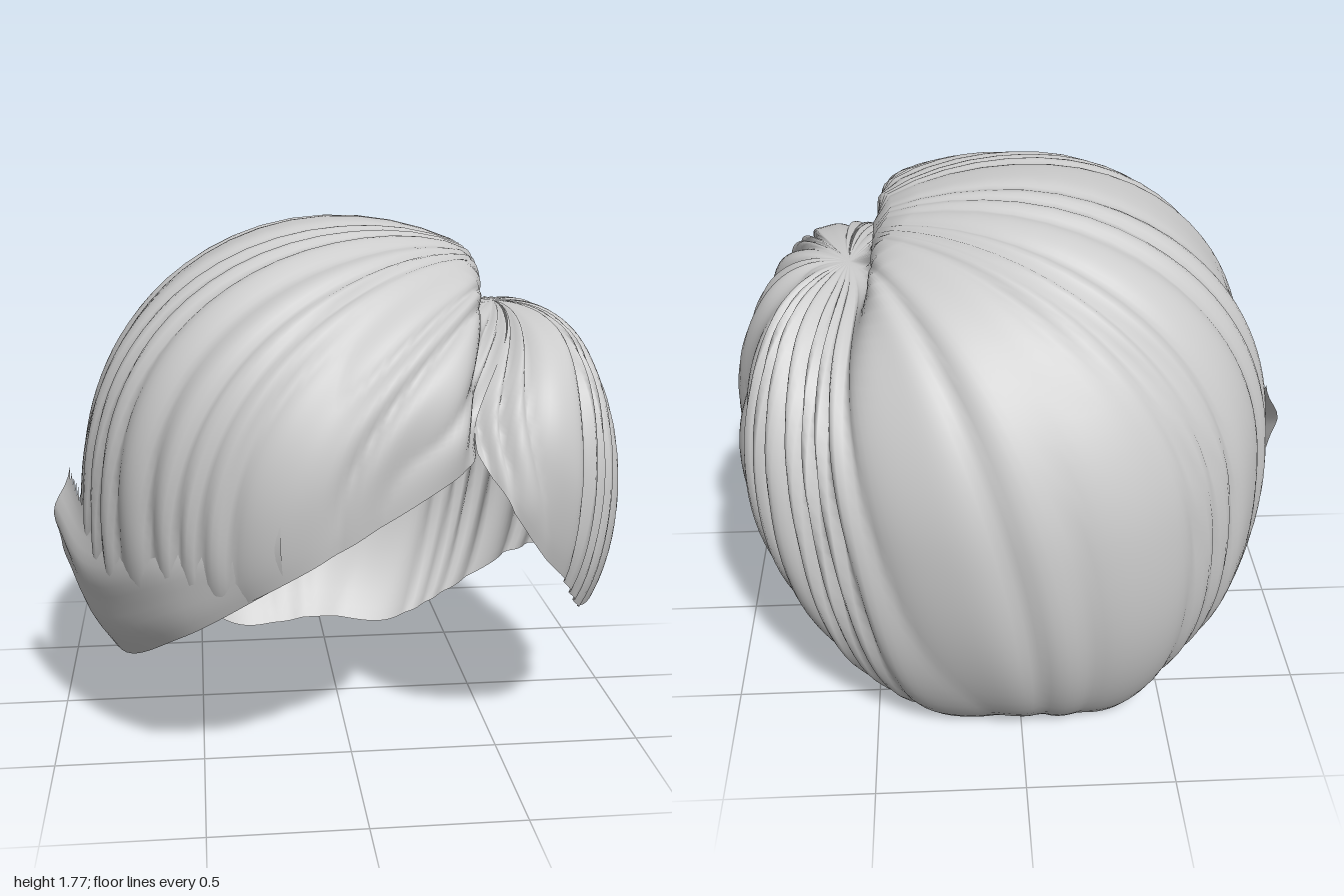
import * as THREE from 'three';
import { mergeVertices } from 'three/addons/utils/BufferGeometryUtils.js';

const V = (x, y, z) => new THREE.Vector3(x, y, z);
const smooth = THREE.MathUtils.smoothstep;
const CENTRE = V(0, 0.9, 0);
const material = new THREE.MeshStandardMaterial({ color: 0xcccccc, side: THREE.DoubleSide });

// Smooth sheet from a rule point(u, v), u running along the hem and v downwards
function sheet(name, nu, nv, point) {
  const pos = [], index = [];
  for (let i = 0; i <= nu; i++)
    for (let j = 0; j <= nv; j++) pos.push(...point(i / nu, j / nv).toArray());
  for (let i = 0; i < nu; i++)
    for (let j = 0; j < nv; j++) {
      const a = i * (nv + 1) + j, b = a + nv + 1;
      if (j > 0) index.push(a, b, a + 1);
      index.push(b, b + 1, a + 1);
    }
  let geo = new THREE.BufferGeometry();
  geo.setAttribute('position', new THREE.Float32BufferAttribute(pos, 3));
  geo.setIndex(index);
  geo = mergeVertices(geo, 1e-4);
  geo.computeVertexNormals();
  const mesh = new THREE.Mesh(geo, material);
  mesh.name = name;
  return mesh;
}

const curve = (pts) => new THREE.CatmullRomCurve3(pts.map((p) => V(...p)));

// Hem of the hair: from the parting along the fringe, right side, back, left side and up again
const hem = curve([
  [0.4, 1.13, 0.8], [0.1, 0.97, 0.89], [-0.25, 0.76, 0.88], [-0.52, 0.56, 0.68],
  [-0.74, 0.4, 0.4], [-0.83, 0.41, 0.2], [-0.86, 0.45, 0], [-0.84, 0.46, -0.2],
  [-0.75, 0.34, -0.43], [-0.54, 0.16, -0.56], [-0.33, 0.01, -0.64], [0, 0.02, -0.68],
  [0.28, 0.01, -0.64], [0.56, 0.18, -0.58], [0.74, 0.36, -0.45], [0.85, 0.46, -0.3],
  [0.94, 0.55, -0.05], [0.94, 0.53, 0.15], [0.82, 0.45, 0.37], [0.67, 0.66, 0.64],
  [0.49, 0.9, 0.77], [0.4, 1.13, 0.8],
]);

// Distance from the centre to the smooth head form in direction d
function headRadius(d) {
  const a = d.x > 0 ? 0.95 : 0.88, b = d.y > 0 ? 0.86 : 1.25;
  const p = 2 + 0.4 * Math.max(0, d.z);
  const sum = Math.abs(d.x / a) ** p + Math.abs(d.y / b) ** p + Math.abs(d.z / 0.925) ** p;
  return sum ** (-1 / p);
}

// Rounded locks with sharp valleys, of uneven width
function locks(u, v) {
  const w = u * 34 + 0.5 * Math.sin(u * 29) + 0.35 * Math.sin(u * 71) + 0.5 * Math.sin(v * 3 + u * 17);
  return Math.abs(Math.sin(Math.PI * w)) - 0.6;
}

// One strand point: from the whorl over the head to the hem
const whorl = V(0.53, 0.55, 0);
function hairPoint(u, v) {
  const end = hem.getPointAt(u).sub(CENTRE);
  const mid = V(end.x * 1.25, 0.55, end.z * 1.25);
  const d = new THREE.QuadraticBezierCurve3(whorl, mid, end).getPoint(v).normalize();
  let r = THREE.MathUtils.lerp(headRadius(d), end.length(), v ** 5);
  // parting groove
  const x = d.x * r, z = d.z * r;
  const line = 0.56 - 0.22 * Math.max(0, z) ** 2;
  const width = x < line ? 0.07 : 0.12;
  r -= 0.15 * Math.exp(-(((x - line) / width) ** 2)) * smooth(d.y, 0, 0.4) * smooth(z, -0.75, -0.1);
  // locks, stronger on the left side
  const left = smooth(x, 0.45, 0.75);
  const grow = smooth(v, 0, 0.35) * (1 - 0.6 * smooth(v, 0.75, 1));
  r += (0.025 + 0.035 * left) * locks(u, v) * grow;
  return d.multiplyScalar(r).add(CENTRE);
}

// End of the fringe, lying over the right side and flicking outwards
const flickTop = curve([[-0.25, 1.08, 0.87], [-0.62, 0.95, 0.63], [-0.84, 0.84, 0.31], [-0.94, 0.91, 0.05]]);
const flickHem = curve([[-0.25, 0.76, 0.88], [-0.56, 0.52, 0.68], [-0.79, 0.33, 0.29], [-0.87, 0.47, 0.09]]);
function flickPoint(u, v) {
  const p = flickTop.getPoint(u).lerp(flickHem.getPoint(u), v);
  const out = V(p.x, 0, p.z).normalize();
  const bulge = (0.03 + 0.06 * u) * Math.sin(Math.PI * v) + 0.008 * Math.sin(v * 15 + u * 3) * u;
  return p.addScaledVector(out, bulge);
}

export function createModel() {
  const group = new THREE.Group();
  group.name = 'hair';
  group.add(sheet('sweptHair', 260, 36, hairPoint));
  group.add(sheet('fringeFlick', 28, 14, flickPoint));
  return group;
}
